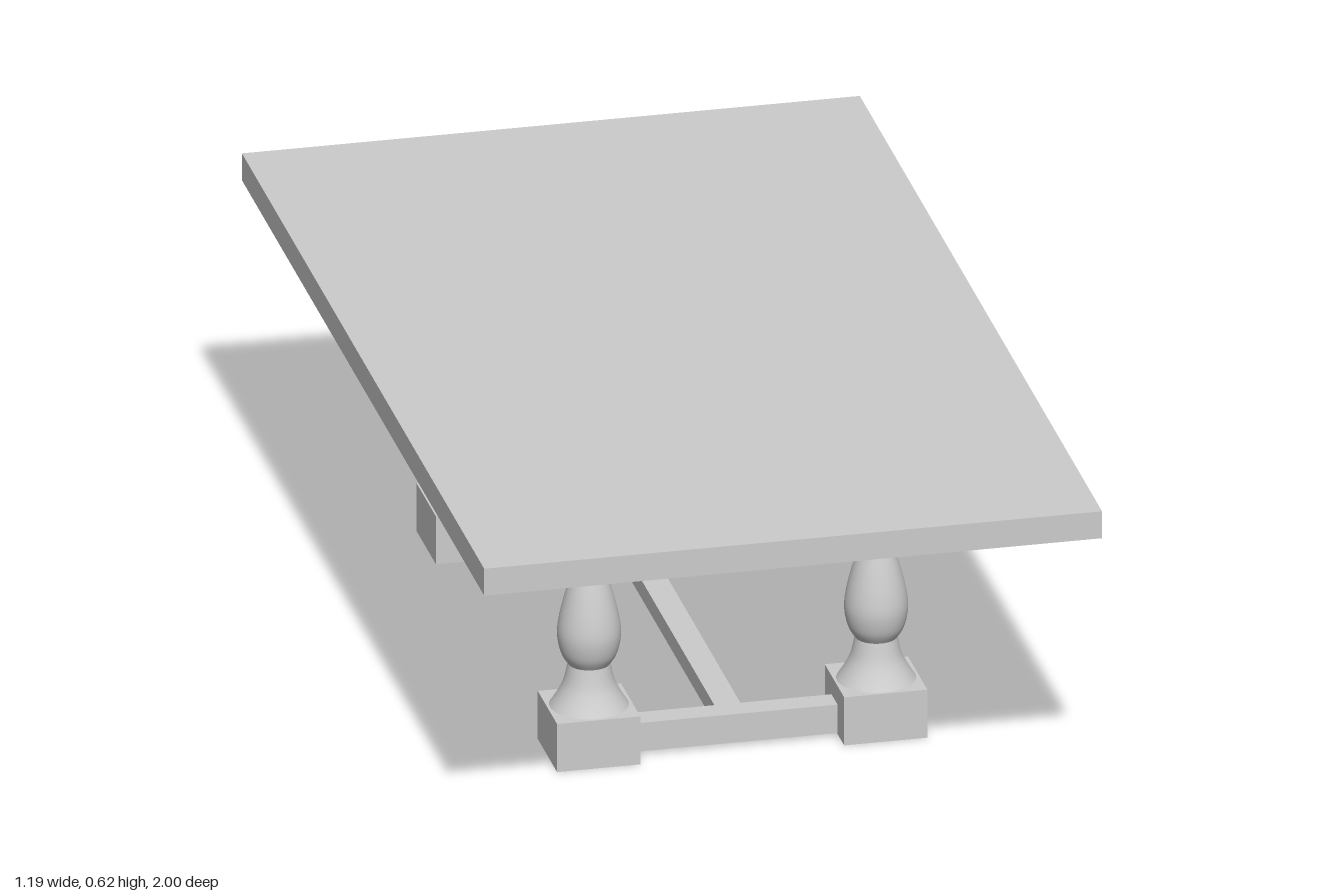
import * as THREE from 'three';

const LEG_X = 0.276, LEG_Z = 0.5, BLOCK = 0.16;

export function createModel() {
  const table = new THREE.Group();
  table.name = 'diningTable';
  const mat = new THREE.MeshStandardMaterial({ color: 0xcccccc });
  const openMat = new THREE.MeshStandardMaterial({ color: 0xcccccc, side: THREE.DoubleSide });

  const add = (parent, name, geometry, material = mat) => {
    const mesh = new THREE.Mesh(geometry, material);
    mesh.name = name;
    parent.add(mesh);
    return mesh;
  };

  // box spanning y0..y1, centred on x, z
  const box = (parent, name, w, y0, y1, d, x = 0, z = 0) => {
    const mesh = add(parent, name, new THREE.BoxGeometry(w, y1 - y0, d));
    mesh.position.set(x, (y0 + y1) / 2, z);
    return mesh;
  };

  // smooth turned section from [radius, height] points, bottom to top
  const turned = (points, steps) => {
    const curve = new THREE.SplineCurve(points.map(([r, y]) => new THREE.Vector2(r, y)));
    return new THREE.LatheGeometry(curve.getPoints(steps), 40);
  };
  const foot = turned([[0.075, 0.098], [0.06, 0.122], [0.048, 0.148], [0.04, 0.183]], 10);
  const vase = turned([
    [0.04, 0.183], [0.053, 0.205], [0.06, 0.24], [0.057, 0.275], [0.046, 0.322],
    [0.032, 0.37], [0.028, 0.402], [0.035, 0.445], [0.049, 0.479],
  ], 36);

  box(table, 'tableTop', 1.188, 0.562, 0.617, 2);

  // four legs: hollow plinth, turned baluster, head block
  for (const sx of [-1, 1]) {
    for (const sz of [-1, 1]) {
      const leg = new THREE.Group();
      leg.name = `${sz > 0 ? 'front' : 'back'}${sx > 0 ? 'Left' : 'Right'}Leg`;
      leg.position.set(sx * LEG_X, 0, sz * LEG_Z);

      const plinth = box(leg, 'plinth', BLOCK, 0, 0.098, BLOCK);
      plinth.material = openMat;
      // the plinth is open underneath: drop the downward face
      const index = Array.from(plinth.geometry.index.array);
      index.splice(18, 6);
      plinth.geometry.setIndex(index);
      plinth.geometry.clearGroups();

      add(leg, 'balusterFoot', foot, openMat);
      add(leg, 'balusterVase', vase, openMat);
      box(leg, 'headBlock', BLOCK, 0.479, 0.562, BLOCK);
      table.add(leg);
    }
  }

  // rails under the top, and the H-shaped floor stretcher
  const spanX = 2 * LEG_X - BLOCK + 0.06, spanZ = 2 * LEG_Z - BLOCK + 0.06;
  for (const s of [-1, 1]) {
    box(table, 'endApron', spanX, 0.505, 0.562, 0.05, 0, s * LEG_Z);
    box(table, 'sideApron', 0.05, 0.505, 0.562, spanZ, s * LEG_X, 0);
    box(table, 'endStretcher', spanX, 0.002, 0.06, 0.05, 0, s * LEG_Z);
  }
  box(table, 'longStretcher', 0.05, 0.015, 0.052, 2 * LEG_Z - 0.04);

  return table;
}
